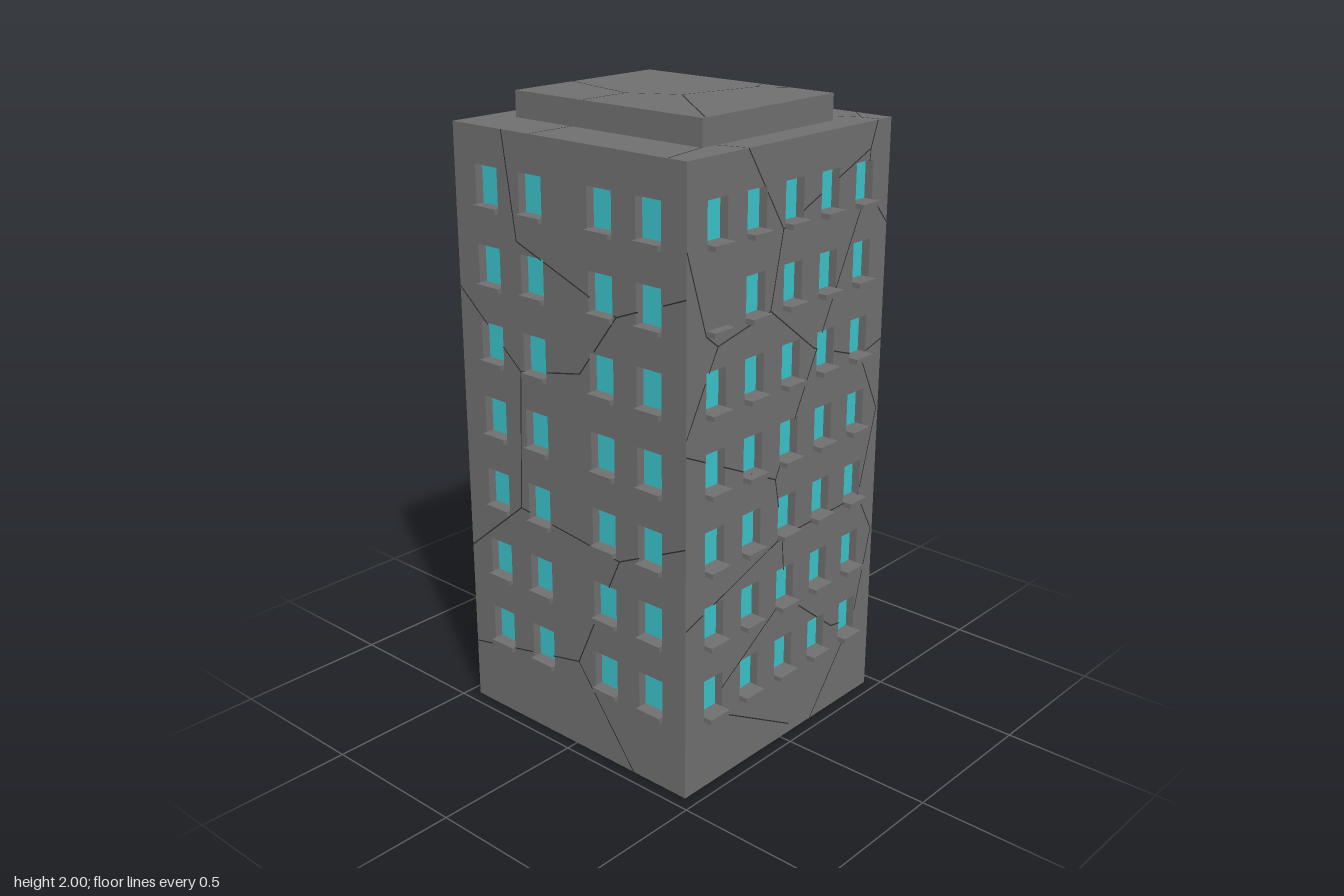
import * as THREE from 'three';
import { mergeGeometries } from 'three/addons/utils/BufferGeometryUtils.js';

const HALF = 0.46, HEIGHT = 1.92, RECESS = 0.03;
const ROWS = 7, FIRST_ROW = 0.24, PITCH = 0.2405, WIN_H = 0.122;

const concrete = new THREE.MeshStandardMaterial({ color: 0x707070 });
const glass = new THREE.MeshStandardMaterial({ color: 0x3cc3cc });
const crackMat = new THREE.MeshStandardMaterial({ color: 0x303030 });

// Crack paths, each a polyline [right, up] as seen facing the wall
const frontCracks = [
  [[-.21, 1.92], [-.05, 1.67], [-.1, 1.44], [-.33, 1.39], [-.46, 1.15]],
  [[-.1, 1.44], [.11, 1.28], [.35, 1.2], [.46, 1.23]],
  [[.39, 1.92], [.36, 1.84], [-.05, 1.67]],
  [[.36, 1.84], [.35, 1.72], [-.06, .91], [-.46, 1.1]],
  [[.35, 1.72], [.46, 1.6]],
  [[-.06, .91], [-.02, .71], [-.46, .56]],
  [[-.02, .71], [.37, .72], [.45, 1], [.35, 1.2]],
  [[-.02, .71], [0, .5], [-.37, .26], [.04, .03]],
  [[0, .5], [.25, .3], [.37, .28], [.45, .58], [.37, .72]],
  [[.37, .28], [.15, 0]],
  [[-.46, 1.68], [-.38, 1.43], [-.33, 1.39]],
];
const rightCracks = [
  [[-.37, 1.92], [-.33, 1.6], [-.29, 1.43], [-.45, 1.16], [.04, 1.06], [.06, .85], [-.46, .83]],
  [[-.46, 1.6], [-.29, 1.43], [.12, 1.48], [.46, 1.47]],
  [[-.1, 1.92], [.17, 1.69], [.12, 1.48]],
  [[.35, 1.92], [.24, 1.71], [.46, 1.64]],
  [[.17, 1.69], [.24, 1.71]],
  [[.04, 1.06], [.12, 1.2], [.28, 1.02], [.46, 1.05]],
  [[.06, .85], [.12, .79], [.28, 1.02]],
  [[.12, .79], [.16, .65], [.46, .63]],
  [[.16, .65], [.08, .45], [-.46, .58]],
  [[.08, .45], [-.18, .11], [-.46, .25]],
  [[-.18, .11], [-.12, 0]],
  [[.08, .45], [.23, .22], [.46, .14]],
  [[.23, .22], [0, 0]],
];
const backCracks = [
  [[.08, 1.92], [.05, 1.65], [.1, 1.42], [.43, 1.41]],
  [[.1, 1.42], [-.08, 1.3], [-.34, 1.06], [-.07, .85], [.35, 1]],
  [[-.46, 1.2], [-.34, 1.06]],
  [[-.07, .85], [-.17, .31], [-.32, 0]],
  [[-.17, .31], [.25, .22], [.46, .36]],
];
const leftCracks = [
  [[-.25, 1.92], [-.2, 1.6], [.2, 1.45], [.46, 1.55]],
  [[-.46, 1.42], [-.2, 1.2], [.05, 1.25], [.2, 1.45]],
  [[-.2, 1.2], [-.22, .75], [.2, .7], [.46, .82]],
  [[-.46, .55], [-.22, .75]],
  [[.2, .7], [.02, .3], [-.46, .2]],
  [[.02, .3], [.25, 0]],
];
const deckCracks = [
  [[-.46, .135], [-.29, .13]],
  [[-.065, .46], [-.055, .38], [.46, .355]],
  [[.29, -.045], [.46, .03]],
  [[.29, -.21], [.39, -.4], [.4, -.46]],
  [[.39, -.4], [.46, -.33]],
  [[-.46, -.395], [-.29, -.365]],
  [[-.24, -.365], [-.21, -.46]],
];
const blockCracks = [
  [[-.29, .09], [-.115, .085], [-.055, .37]],
  [[-.115, .085], [-.03, -.06], [.23, -.125], [.29, -.1]],
  [[.23, -.125], [.29, -.21]],
  [[-.03, -.06], [-.28, -.365]],
];

function addMesh(parent, name, geometry, material) {
  const mesh = new THREE.Mesh(geometry, material);
  mesh.name = name;
  parent.add(mesh);
  return mesh;
}

// Hairline strips along the paths, left out where they would cross an opening
function cracks(paths, z, isOpen = () => false) {
  const strips = [];
  const strip = (a, b) => strips.push(
    new THREE.PlaneGeometry(a.distanceTo(b), 0.004)
      .rotateZ(Math.atan2(b.y - a.y, b.x - a.x))
      .translate((a.x + b.x) / 2, (a.y + b.y) / 2, z));
  for (const path of paths) {
    for (let i = 1; i < path.length; i++) {
      const a = new THREE.Vector2(...path[i - 1]), b = new THREE.Vector2(...path[i]);
      const steps = Math.ceil(a.distanceTo(b) / 0.01);
      let start = null;
      for (let s = 0; s <= steps; s++) {
        const p = a.clone().lerp(b, s / steps), open = isOpen(p);
        if (!open && !start) start = p;
        if (start && (open || s === steps)) {
          if (start.distanceTo(p) > 0.001) strip(start, p);
          start = null;
        }
      }
    }
  }
  return mergeGeometries(strips);
}

// One wall in its own frame: outer face at z = HALF, looking along +z
function wall({ name, angle, halfWidth, columns, winW, sillOut, bricked, paths }) {
  const group = new THREE.Group();
  group.name = name;
  group.rotation.y = angle;
  const shape = new THREE.Shape([
    new THREE.Vector2(-halfWidth, 0), new THREE.Vector2(halfWidth, 0),
    new THREE.Vector2(halfWidth, HEIGHT), new THREE.Vector2(-halfWidth, HEIGHT)]);
  const panes = [], sills = [], openings = [];
  for (let row = 0; row < ROWS; row++) {
    columns.forEach((x, col) => {
      const y = FIRST_ROW + row * PITCH, w = winW / 2;
      const depth = RECESS + sillOut;
      sills.push(new THREE.BoxGeometry(winW, 0.016, depth)
        .translate(x, y - 0.006, HALF - RECESS + depth / 2));
      if (bricked && bricked[0] === col && bricked[1] === row) return;
      shape.holes.push(new THREE.Path([
        new THREE.Vector2(x - w, y), new THREE.Vector2(x - w, y + WIN_H),
        new THREE.Vector2(x + w, y + WIN_H), new THREE.Vector2(x + w, y)]));
      panes.push(new THREE.PlaneGeometry(winW, WIN_H)
        .translate(x, y + WIN_H / 2, HALF - RECESS + 0.002));
      openings.push([x, y + WIN_H / 2]);
    });
  }
  const isOpen = p => openings.some(([x, y]) =>
    Math.abs(p.x - x) < winW / 2 && Math.abs(p.y - y) < WIN_H / 2);
  addMesh(group, 'wallPanel', new THREE.ExtrudeGeometry(shape, { depth: RECESS, bevelEnabled: false })
    .translate(0, 0, HALF - RECESS), concrete);
  addMesh(group, 'windowPanes', mergeGeometries(panes), glass);
  addMesh(group, 'windowSills', mergeGeometries(sills), concrete);
  addMesh(group, 'wallCracks', cracks(paths, HALF + 0.001, isOpen), crackMat);
  return group;
}

export function createModel() {
  const model = new THREE.Group();
  model.name = 'apartmentTower';

  // Solid core behind the window recesses
  const inner = 2 * (HALF - RECESS);
  addMesh(model, 'core', new THREE.BoxGeometry(inner, HEIGHT, inner), concrete).position.y = HEIGHT / 2;

  // Five window columns front and back, four on each side
  const broad = { halfWidth: HALF, columns: [-.335, -.168, 0, .168, .335], winW: 0.084, sillOut: 0.03 };
  const narrow = { halfWidth: HALF - RECESS, columns: [-.322, -.138, .138, .322], winW: 0.094, sillOut: 0.015 };
  model.add(
    wall({ ...broad, name: 'frontWall', angle: 0, bricked: [0, 5], paths: frontCracks }),
    wall({ ...broad, name: 'backWall', angle: Math.PI, bricked: [3, 2], paths: backCracks }),
    wall({ ...narrow, name: 'leftWall', angle: Math.PI / 2, paths: rightCracks }),
    wall({ ...narrow, name: 'rightWall', angle: -Math.PI / 2, paths: leftCracks }));

  // Raised roof block
  addMesh(model, 'roofBlock', new THREE.BoxGeometry(0.585, 0.08, 0.735), concrete).position.y = HEIGHT + 0.04;

  // Roof cracks
  addMesh(model, 'deckCracks', cracks(deckCracks, HEIGHT + 0.001,
    p => Math.abs(p.x) < 0.29 && Math.abs(p.y) < 0.365), crackMat).rotation.x = -Math.PI / 2;
  addMesh(model, 'roofBlockCracks', cracks(blockCracks, 2.0005), crackMat).rotation.x = -Math.PI / 2;
  return model;
}
